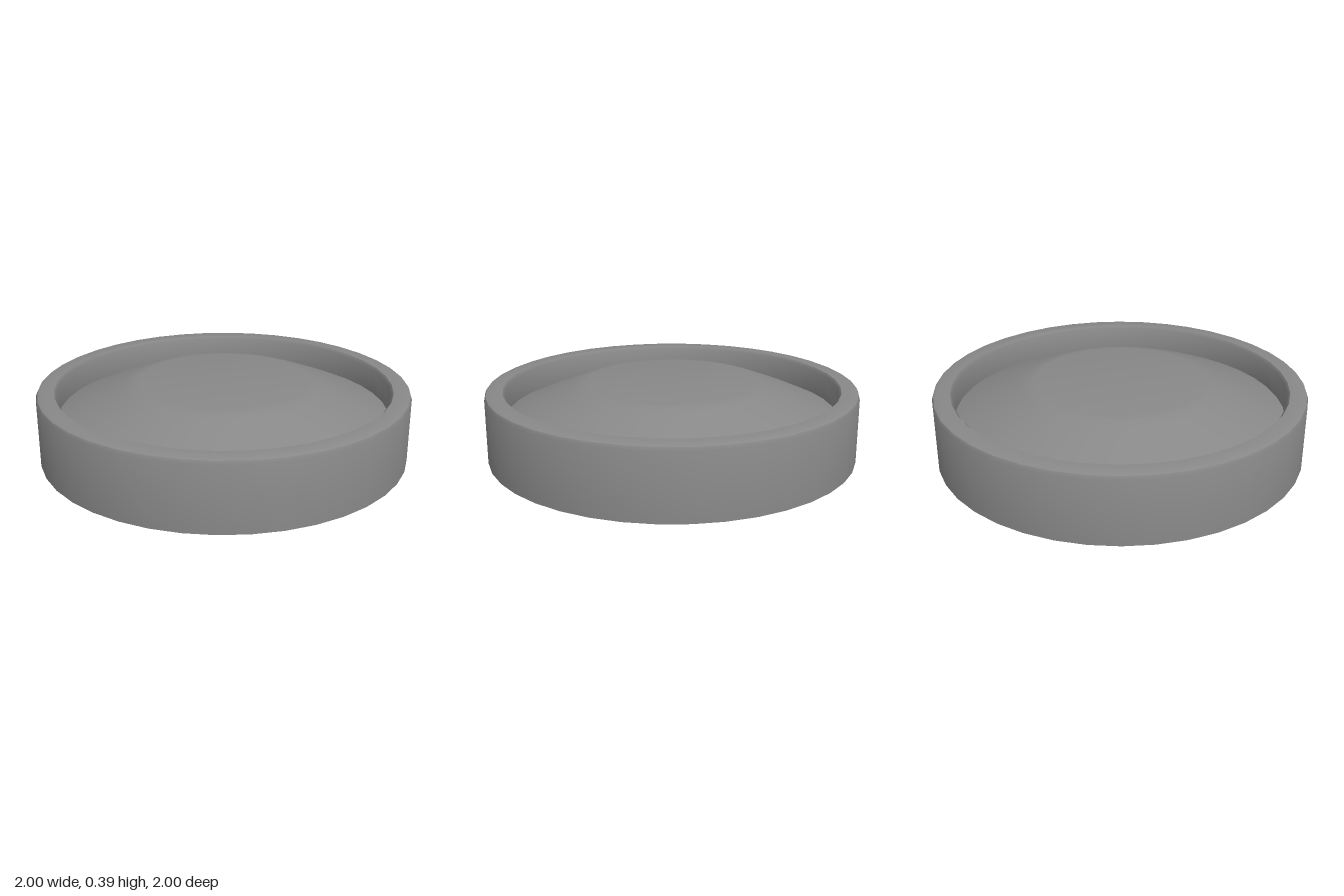
import * as THREE from 'three';
import { toCreasedNormals } from 'three/addons/utils/BufferGeometryUtils.js';

const SEGMENTS = 40;

// Open turned surface from a list of [radius, height] points
function turned(name, points, material) {
  const profile = points.map(([r, y]) => new THREE.Vector2(r, y));
  const lathe = new THREE.LatheGeometry(profile, SEGMENTS);
  const mesh = new THREE.Mesh(toCreasedNormals(lathe, 0.7), material);
  mesh.name = name;
  return mesh;
}

export function createModel() {
  const group = new THREE.Group();
  group.name = 'cap';
  const material = new THREE.MeshStandardMaterial({ color: 0x888888, side: THREE.DoubleSide });

  // Outer wall, rounded lip and bevelled inner wall, open underneath
  group.add(turned('rim', [
    [1, 0], [1, 0.345], [0.993, 0.362], [0.975, 0.37],
    [0.905, 0.37], [0.893, 0.354], [0.893, 0.22],
  ], material));

  // Raised centre: sloping shoulder up to a flat top
  group.add(turned('domedCentre', [
    [0.893, 0.22], [0.77, 0.275], [0.65, 0.325], [0.535, 0.37],
    [0.49, 0.385], [0.46, 0.39], [0, 0.39],
  ], material));

  return group;
}
